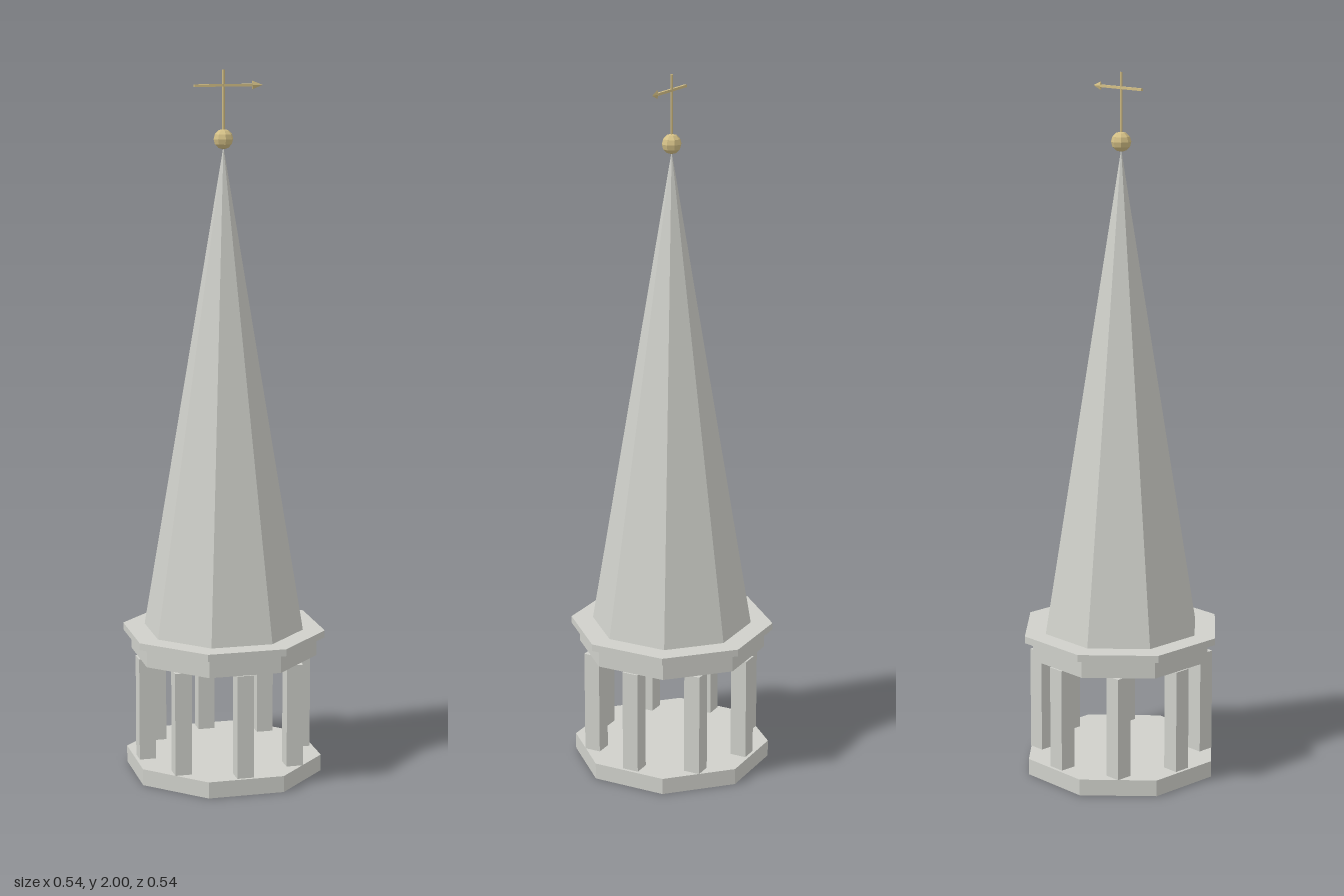
import * as THREE from 'three';

export function createModel() {
  const model = new THREE.Group();
  model.name = 'spire';

  const stone = new THREE.MeshStandardMaterial({ color: 0xcfd0ca, flatShading: true });
  stone.name = 'pale stone';
  const brass = new THREE.MeshStandardMaterial({ color: 0xd3bf86, flatShading: true });
  brass.name = 'brass';

  function add(name, geometry, material, x, y, z, parent = model) {
    const mesh = new THREE.Mesh(geometry, material);
    mesh.name = name;
    mesh.position.set(x, y, z);
    parent.add(mesh);
    return mesh;
  }

  // Eight-sided slab with flat sides towards the axes; apothem is half its width
  function octagon(name, apothem, bottom, top) {
    const r = apothem / Math.cos(Math.PI / 8);
    const g = new THREE.CylinderGeometry(r, r, top - bottom, 8);
    g.rotateY(Math.PI / 8);
    return add(name, g, stone, 0, (top + bottom) / 2, 0);
  }

  octagon('base', 0.262, 0, 0.047);
  octagon('lintel', 0.248, 0.344, 0.398);
  octagon('cornice', 0.27, 0.398, 0.418);

  // Square columns, all aligned with the axes
  const columns = new THREE.Group();
  columns.name = 'columns';
  model.add(columns);
  const columnGeometry = new THREE.BoxGeometry(0.048, 0.297, 0.048);
  for (let i = 0; i < 8; i++) {
    const a = (i * Math.PI) / 4;
    add('column', columnGeometry, stone, 0.229 * Math.sin(a), 0.1955, 0.229 * Math.cos(a), columns);
  }

  // Tall roof
  const roof = new THREE.ConeGeometry(0.212 / Math.cos(Math.PI / 8), 1.372, 8);
  roof.rotateY(Math.PI / 8);
  add('roof', roof, stone, 0, 0.418 + 0.686, 0);

  // Finial and weather vane
  add('finialBall', new THREE.SphereGeometry(0.028, 8, 6), brass, 0, 1.81, 0);
  add('vaneRod', new THREE.CylinderGeometry(0.004, 0.004, 0.19, 6), brass, 0, 1.905, 0);
  add('vaneArm', new THREE.BoxGeometry(0.166, 0.007, 0.007), brass, 0, 1.957, 0);
  const tip = new THREE.ConeGeometry(0.012, 0.03, 4);
  tip.rotateZ(-Math.PI / 2);
  tip.scale(1, 1, 0.35);
  add('vaneTip', tip, brass, 0.097, 1.957, 0);

  return model;
}
